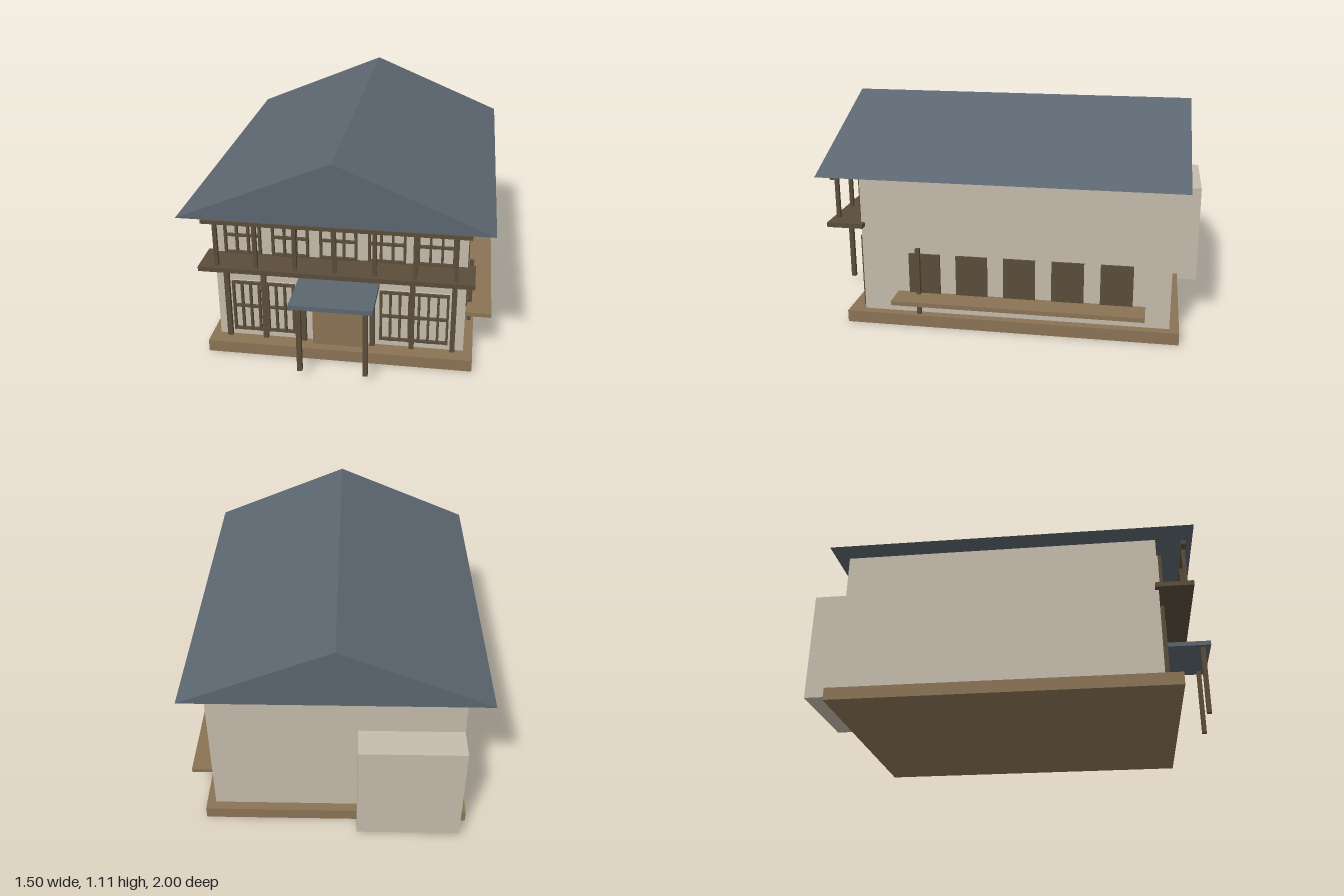
import * as THREE from 'three';

const mat = (name, color) => {
  const m = new THREE.MeshStandardMaterial({ color });
  m.name = name;
  return m;
};

export function createModel() {
  const house = new THREE.Group();
  house.name = 'house';
  const plaster = mat('plaster', 0xc4bcab);
  const wood = mat('wood', 0x8b7355);
  const darkWood = mat('darkWood', 0x5a4d3a);
  const slate = mat('slate', 0x5c6670);

  // Box given by its extents on each axis
  const box = (name, material, [x0, x1], [y0, y1], [z0, z1], parent = house) => {
    const mesh = new THREE.Mesh(new THREE.BoxGeometry(x1 - x0, y1 - y0, z1 - z0), material);
    mesh.position.set((x0 + x1) / 2, (y0 + y1) / 2, (z0 + z1) / 2);
    mesh.name = name;
    parent.add(mesh);
    return mesh;
  };
  const around = (c, size) => [c - size / 2, c + size / 2];

  // Main masses
  box('base', wood, [-0.675, 0.658], [0, 0.062], [-0.89, 0.808]);
  box('walls', plaster, [-0.632, 0.612], [0.062, 0.8], [-0.842, 0.725]);
  box('rearAnnex', plaster, [-0.632, -0.117], [0.032, 0.58], [-1, -0.842]);

  // Gabled roof
  const gable = new THREE.Shape([
    new THREE.Vector2(-0.75, 0.798),
    new THREE.Vector2(0.731, 0.798),
    new THREE.Vector2(-0.01, 1.108),
  ]);
  const roof = new THREE.Mesh(
    new THREE.ExtrudeGeometry(gable, { depth: 1.816, bevelEnabled: false }), slate);
  roof.position.z = -0.908;
  roof.name = 'roof';
  house.add(roof);

  // Lattice window on the front: pane, evenly spaced uprights, three rails
  const latticeWindow = (name, [x0, x1], [y0, y1], columns) => {
    const g = new THREE.Group();
    g.name = name;
    house.add(g);
    const t = 0.012, depth = [0.735, 0.752];
    box('pane', plaster, [x0, x1], [y0, y1], [0.725, 0.735], g);
    for (let i = 0; i <= columns; i++) {
      const x = x0 + t / 2 + (x1 - x0 - t) * i / columns;
      box('upright', darkWood, around(x, t), [y0, y1], depth, g);
    }
    for (let i = 0; i <= 2; i++) {
      const y = y0 + t / 2 + (y1 - y0 - t) * i / 2;
      box('rail', darkWood, [x0, x1], around(y, t), [depth[0], depth[1] - 0.002], g);
    }
  };
  latticeWindow('lowerWindowRight', [-0.55, -0.234], [0.105, 0.384], 7);
  latticeWindow('lowerWindowLeft', [0.193, 0.534], [0.105, 0.384], 7);
  for (let i = -2; i <= 2; i++) {
    const c = -0.01 + i * 0.236;
    latticeWindow('upperWindow', around(c, 0.182), [0.544, 0.742], 3);
  }

  // Ground floor wall posts and door
  for (const x of [-0.578, -0.39, -0.192, 0.156, 0.353, 0.557])
    box('wallPost', darkWood, around(x, 0.025), [0.062, 0.449], [0.725, 0.747]);
  box('door', wood, [-0.142, 0.122], [0.062, 0.405], [0.725, 0.765]);

  // Entrance canopy
  box('canopy', slate, [-0.21, 0.19], [0.403, 0.426], [0.735, 1]);
  for (const x of [-0.17, 0.15])
    box('canopyPost', darkWood, around(x, 0.024), [0.04, 0.403], [0.948, 0.972]);

  // Balcony
  box('balconyFloor', darkWood, [-0.667, 0.65], [0.514, 0.538], [0.707, 0.893]);
  box('balconyRail', darkWood, [-0.645, 0.627], [0.758, 0.777], [0.85, 0.873]);
  for (let i = -3; i <= 3; i++)
    box('balconyPost', darkWood, around(-0.01 + i * 0.19, 0.019), [0.538, 0.758], [0.852, 0.871]);

  // Side windows, ledge and post
  for (let i = -2; i <= 2; i++)
    box('sideWindow', darkWood, [0.612, 0.622], [0.122, 0.384], around(-0.088 - i * 0.244, 0.162));
  box('sideLedge', wood, [0.612, 0.747], [0.151, 0.173], [-0.72, 0.543]);
  box('sidePost', darkWood, [0.624, 0.645], [0.062, 0.418], [0.419, 0.44]);

  return house;
}
